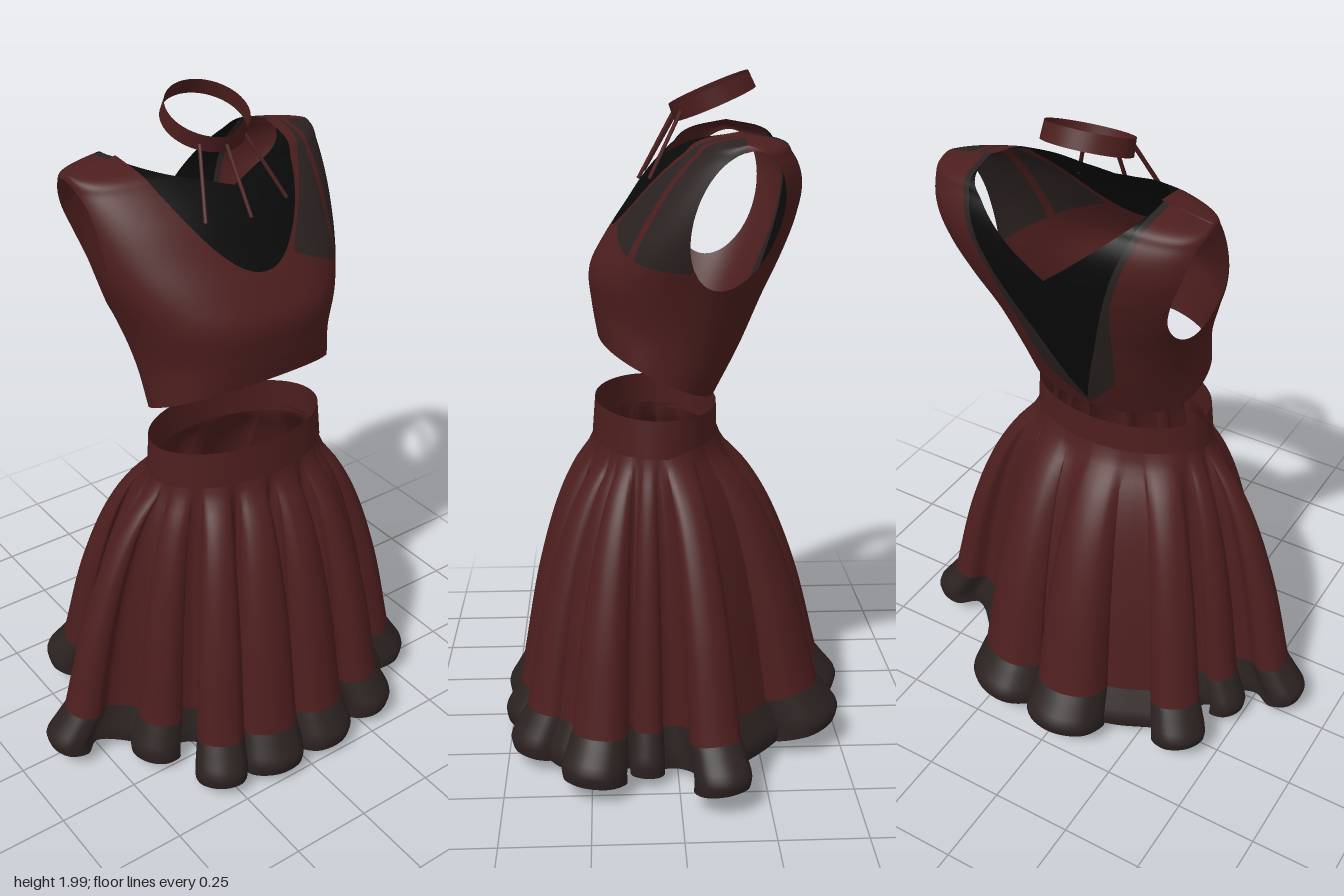
import * as THREE from 'three';
import { mergeVertices } from 'three/addons/utils/BufferGeometryUtils.js';

const mat = (name, color) => {
  const m = new THREE.MeshStandardMaterial({ color, side: THREE.DoubleSide });
  m.name = name;
  return m;
};

// Smooth lookup through rows of [key, value, value, ...]
function table(rows) {
  const n = rows[0].length - 1;
  const keys = new Float32Array(rows.map(r => r[0]));
  const vals = new Float32Array(rows.flatMap(r => r.slice(1)));
  const it = new THREE.CubicInterpolant(keys, vals, n, new Float32Array(n));
  return k => Array.from(it.evaluate(k));
}

function mesh(name, geometry, material) {
  const m = new THREE.Mesh(geometry, material);
  m.name = name;
  return m;
}

// Closed surface from a rule f(u, v), wrapping in u
function loopSurface(f, cols, vs) {
  const pos = [], idx = [];
  vs.forEach((v, j) => {
    for (let i = 0; i < cols; i++) {
      pos.push(...f(i / cols, v));
      if (j === vs.length - 1) continue;
      const a = j * cols + i, b = j * cols + (i + 1) % cols;
      idx.push(a, b, a + cols, b, b + cols, a + cols);
    }
  });
  const g = new THREE.BufferGeometry();
  g.setAttribute('position', new THREE.Float32BufferAttribute(pos, 3));
  g.setIndex(idx);
  g.computeVertexNormals();
  return g;
}

// ---- Bodice: leaning torso surface, cut into coloured regions ----
const CX = 0.035;
// mid height, front z, back z, half width, hem tilt
const torso = table([
  [1.175, 0.22, -0.12, 0.285, 0.085], [1.29, 0.235, -0.19, 0.29, 0.06],
  [1.42, 0.24, -0.255, 0.325, 0.03], [1.52, 0.2, -0.305, 0.365, 0.01],
  [1.62, 0.14, -0.34, 0.395, 0], [1.72, 0.07, -0.35, 0.408, 0],
  [1.79, 0.0, -0.32, 0.408, 0], [1.83, -0.06, -0.275, 0.405, 0], [1.85, -0.175, -0.175, 0.4, 0],
]);
const spow = (v, e) => Math.sign(v) * Math.pow(Math.abs(v), e);

function torsoPoint(a, s) {
  const y = 1.175 + 0.675 * Math.sin(s * Math.PI / 2);
  const [zf, zb, w, tilt] = torso(y);
  const e = Math.sin(a) < 0 ? 0.84 - 0.3 * s : 0.84; // boxier shoulder blades
  const k = spow(Math.sin(a), e);
  const x = w * spow(Math.cos(a), e) * (1 - 0.2 * s * (1 - s) * k);
  const droop = 0.2 * Math.max(0, Math.abs(x) - 0.25) * s ** 4;
  return { x, y: y + tilt * k - droop, z: (zf + zb) / 2 + (zf - zb) / 2 * k };
}

// Cuts a polygon along f = 0 and returns [positive part, negative part]
function split(poly, f) {
  const pos = [], neg = [];
  poly.forEach((p, i) => {
    const q = poly[(i + 1) % poly.length], fp = f(p), fq = f(q);
    (fp >= 0 ? pos : neg).push(p);
    if ((fp >= 0) !== (fq >= 0)) {
      const t = fp / (fp - fq);
      const c = { x: p.x + (q.x - p.x) * t, y: p.y + (q.y - p.y) * t, z: p.z + (q.z - p.z) * t };
      pos.push(c);
      neg.push(c);
    }
  });
  return [pos, neg];
}

// Region edges
const armhole = ({ y, z }) => {
  const dz = z + 0.155, dy = y - 1.62;
  return ((0.949 * dy - 0.316 * dz) / 0.195) ** 2 + ((0.949 * dz + 0.316 * dy) / 0.115) ** 2 - 1;
};
const neckline = p => p.y - 1.57 - 0.27 * (p.x / 0.25) ** 2;
const frontTop = p => 1.77 + 0.28 * Math.abs(p.x) - p.y;
const shoulderPanel = p => Math.min(p.y - 1.64 + 0.45 * p.x, p.x - 0.1 - 0.75 * (p.y - 1.58));
const stripe = p => 0.01 - Math.abs(p.x - 0.3 - 0.1 * (p.y - 1.7));
const backV = p => 0.36 * (p.y - 1.12) - Math.abs(p.x);
const backTop = p => 1.62 + 0.85 * Math.abs(p.x) - p.y;
const backStrip = p =>
  backV(p) + Math.min(0.5 * (p.y - 1.08), Math.max(0.02, 0.085 - 0.17 * (p.y - 1.2)));

function buildBodice(red, grey, black) {
  const out = { red: [], grey: [], black: [] };
  const put = (list, poly) => {
    for (let i = 1; i < poly.length - 1; i++)
      for (const p of [poly[0], poly[i], poly[i + 1]]) list.push(p.x + CX, p.y, p.z);
  };
  const COLS = 144, ROWS = 64;
  for (let j = 0; j < ROWS; j++) for (let i = 0; i < COLS; i++) {
    const at = (di, dj) => torsoPoint((i + di) / COLS * Math.PI * 2, (j + dj) / ROWS);
    const [A, B, C, D] = [at(0, 0), at(0, 1), at(1, 1), at(1, 0)];
    for (const tri of [[A, B, C], [A, C, D]]) {
      const cloth = split(tri, armhole)[0];
      if (i < COLS / 2) {
        const [insert, rest] = split(cloth, neckline);
        put(out.black, split(insert, frontTop)[0]);
        const [panel, plain] = split(rest, shoulderPanel);
        const [line, dark] = split(panel, stripe);
        put(out.red, plain);
        put(out.red, line);
        put(out.grey, dark);
      } else {
        const [insert, rest] = split(cloth, backV);
        put(out.black, split(insert, backTop)[0]);
        const [strip, plain] = split(rest, backStrip);
        put(out.grey, strip);
        put(out.red, plain);
      }
    }
  }
  const make = (name, list, m) => {
    const g = new THREE.BufferGeometry();
    g.setAttribute('position', new THREE.Float32BufferAttribute(list, 3));
    const merged = mergeVertices(g, 1e-4);
    merged.computeVertexNormals();
    return mesh(name, merged, m);
  };
  const group = new THREE.Group();
  group.name = 'bodice';
  group.add(make('bodiceCloth', out.red, red), make('bodicePanels', out.grey, grey),
    make('bodiceInserts', out.black, black));
  return group;
}

// ---- Skirt: gathered waist blended into a deeply folded hem ----
// fold tip x, fold tip z, half width of its round end, radius of the valley after it
const FOLDS = [
  [0.655, -0.13, 0.08, 0.4], [0.48, 0.1, 0.05, 0.42], [0.56, 0.28, 0.095, 0.54],
  [0.34, 0.47, 0.09, 0.33], [0.11, 0.515, 0.1, 0.27], [-0.13, 0.515, 0.105, 0.3],
  [-0.32, 0.465, 0.08, 0.33], [-0.44, 0.22, 0.08, 0.44], [-0.66, 0.03, 0.075, 0.43],
  [-0.51, -0.12, 0.065, 0.4], [-0.45, -0.36, 0.085, 0.42], [-0.05, -0.525, 0.125, 0.36],
  [0.25, -0.48, 0.13, 0.44],
];

function skirtCurves() {
  const hem = [], waist = [], n = FOLDS.length, turn = Math.PI * 2;
  const angle = i => Math.atan2(FOLDS[i % n][1], FOLDS[i % n][0]);
  const midAfter = i => {
    const a = angle(i), gap = (angle(i + 1) - a + turn) % turn;
    return a + gap / 2;
  };
  FOLDS.forEach(([x, z, b, valley], i) => {
    const a = angle(i), R = Math.hypot(x, z), hi = midAfter(i);
    const lo = a - ((a - midAfter(i + n - 1) + turn) % turn);
    const neck = v => 0.45 * v + 0.55 * (R - b);
    const before = neck(FOLDS[(i + n - 1) % n][3]), after = neck(valley);
    // distance out, sideways offset, share of the waist
    const ends = [
      [before, -0.42 * b, 0.1], [R - 1.05 * b, -b, 0.2], [R - 0.3 * b, -0.78 * b, 0.33], [R, 0, 0.5],
      [R - 0.3 * b, 0.78 * b, 0.67], [R - 1.05 * b, b, 0.8], [after, 0.42 * b, 0.9],
    ];
    const add = (r, off, dir, share) => {
      const c = Math.cos(dir), s = Math.sin(dir), w = lo + (hi - lo) * share;
      hem.push(new THREE.Vector3(r * c - off * s, 0, r * s + off * c));
      waist.push(new THREE.Vector3(0.02 + 0.285 * Math.cos(w), 0, 0.05 + 0.185 * Math.sin(w)));
    };
    ends.forEach(([r, off, share]) => add(r, off, a, share));
    add(valley, 0, hi, 1);
  });
  return [hem, waist].map(p => new THREE.CatmullRomCurve3(p, true, 'centripetal'));
}

function buildSkirt(red, grey) {
  const [hem, waist] = skirtCurves();
  const flare = table([[0, 0], [0.05, 0.05], [0.12, 0.2], [0.24, 0.38], [0.5, 0.62], [0.86, 0.83]]);
  const ruffle = table([[0.86, 0.83], [0.91, 0.92], [0.96, 1], [1, 0.98]]);
  const rule = spread => (u, t) => {
    const h = hem.getPoint(u), w = waist.getPoint(u), p = spread(t)[0];
    const hemY = 0.005 + 0.16 * Math.max(0, Math.hypot(h.x, h.z) - 0.25) + 0.08 * Math.max(0, -h.z);
    return [w.x + (h.x - w.x) * p, 0.96 + (hemY - 0.96) * t, w.z + (h.z - w.z) * p];
  };
  const steps = (a, b, n) => Array.from({ length: n + 1 }, (_, i) => a + (b - a) * i / n);
  const group = new THREE.Group();
  group.name = 'skirt';
  group.add(mesh('skirtCloth', loopSurface(rule(flare), 624, steps(0, 0.86, 28)), red));
  group.add(mesh('hemTrim', loopSurface(rule(ruffle), 624, steps(0.86, 1, 8)), grey));

  // Waistband
  const band = new THREE.CylinderGeometry(0.98, 1.01, 0.11, 72, 1, true);
  band.scale(0.288, 1, 0.183).rotateX(-0.03).translate(0.02, 1.0, 0.052);
  group.add(mesh('waistband', band, red));
  return group;
}

// ---- Choker with three cords down to the neckline ----
function buildChoker(red) {
  const group = new THREE.Group();
  group.name = 'choker';
  const ring = new THREE.CylinderGeometry(0.121, 0.124, 0.05, 64, 1, true);
  ring.rotateX(0.4).translate(0.033, 1.93, -0.11);
  group.add(mesh('chokerBand', ring, red));
  const cords = [
    [[-0.05, 1.89, -0.02], [-0.1, 1.71, 0.078]],
    [[0.025, 1.88, 0.0], [0.038, 1.7, 0.098]],
    [[0.1, 1.89, -0.02], [0.18, 1.715, 0.07]],
  ];
  for (const [a, b] of cords) {
    const path = new THREE.LineCurve3(new THREE.Vector3(...a), new THREE.Vector3(...b));
    group.add(mesh('cord', new THREE.TubeGeometry(path, 1, 0.006, 6), red));
  }
  return group;
}

export function createModel() {
  const red = mat('darkRedCloth', 0x4d1e1e);
  const grey = mat('charcoalTrim', 0x2b2221);
  const black = mat('blackInsert', 0x0a0a0a);
  const model = new THREE.Group();
  model.name = 'outfit';
  model.add(buildBodice(red, grey, black), buildSkirt(red, grey), buildChoker(red));
  return model;
}
